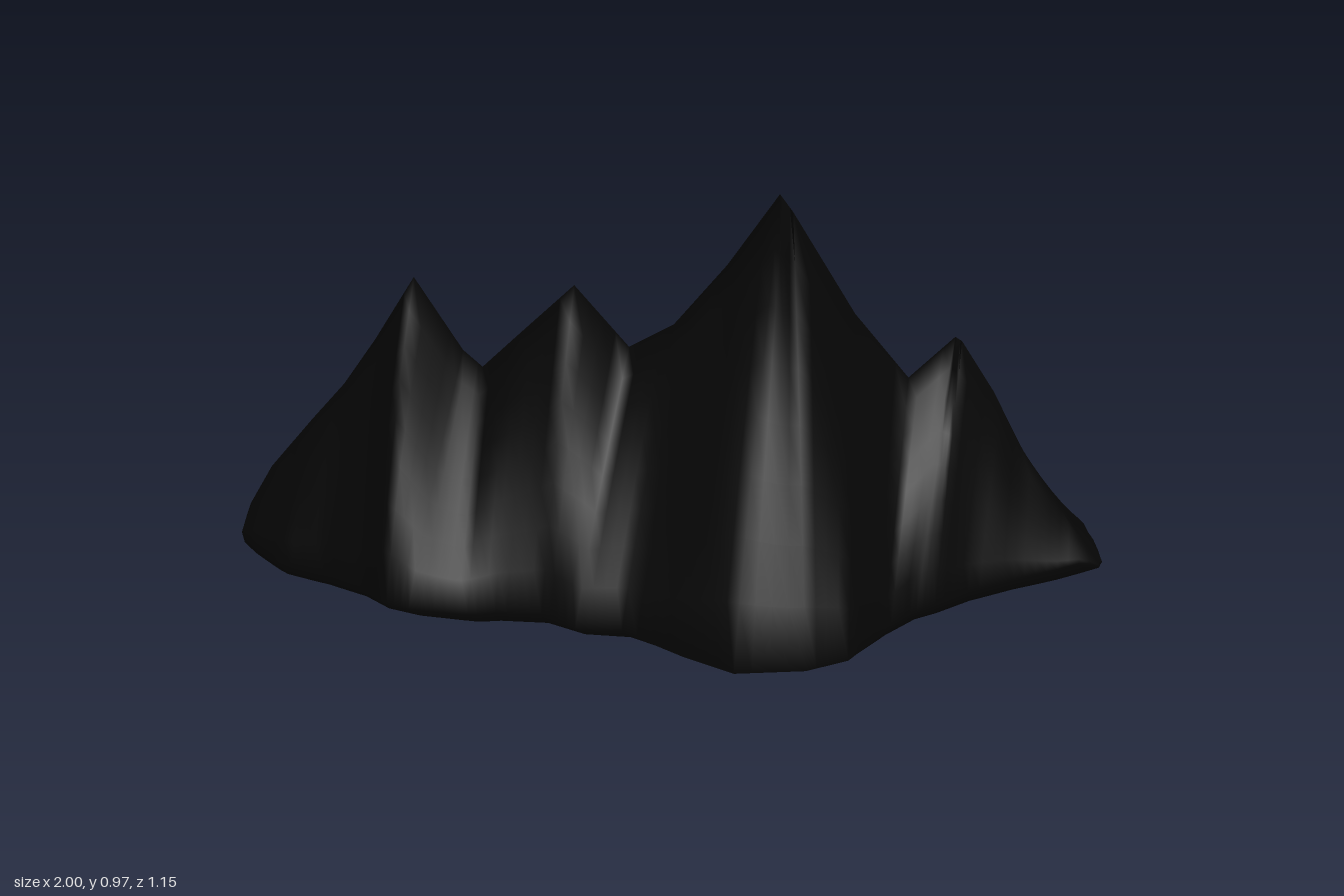
import * as THREE from 'three';

// Stations along the crest: crest [x, y, z, swell of the slopes], front foot [x, z], back foot [x, z]
const ridge = [
  [-0.97, 0.1, 0.36, 0], [-0.9, 0.22, 0.35, 0.05], [-0.78, 0.37, 0.33, 0.05], [-0.7, 0.47, 0.3, 0.05],
  [-0.63, 0.585, 0.26, 0.06], [-0.53, 0.755, 0.23, 0.06], [-0.43, 0.57, 0.19, 0.05], [-0.39, 0.525, 0.17, 0.02],
  [-0.3, 0.62, 0.155, 0.03], [-0.17, 0.757, 0.11, 0.04], [-0.07, 0.585, 0.03, 0.03], [0.04, 0.66, 0.015, 0.04],
  [0.14, 0.8, -0.06, 0.04], [0.24, 0.97, -0.125, 0.04], [0.29, 0.95, -0.085, 0.04], [0.42, 0.69, -0.165, 0.04],
  [0.53, 0.51, -0.25, 0.02], [0.61, 0.595, -0.34, 0.03], [0.635, 0.6, -0.315, 0.03], [0.71, 0.46, -0.36, 0.04],
  [0.78, 0.32, -0.38, 0.04], [0.89, 0.16, -0.4, 0.04], [0.98, 0.06, -0.4, 0],
];
const frontFoot = [
  [-0.95, 0.43], [-0.9, 0.46], [-0.78, 0.51], [-0.66, 0.5], [-0.54, 0.52], [-0.45, 0.575], [-0.37, 0.575], [-0.27, 0.52],
  [-0.2, 0.47], [-0.1, 0.43], [0, 0.45], [0.1, 0.41], [0.27, 0.44], [0.4, 0.45], [0.54, 0.37], [0.61, 0.29],
  [0.64, 0.14], [0.67, 0.05], [0.71, -0.01], [0.76, -0.1], [0.84, -0.2], [0.92, -0.29], [1, -0.39],
];
const backFoot = [
  [-1, 0.3], [-0.93, 0.23], [-0.84, 0.15], [-0.76, 0.07], [-0.68, 0], [-0.55, 0], [-0.42, -0.08], [-0.35, -0.14],
  [-0.25, -0.13], [-0.13, -0.23], [-0.04, -0.24], [0.08, -0.4], [0.15, -0.46], [0.27, -0.49], [0.37, -0.45],
  [0.45, -0.48], [0.52, -0.53], [0.6, -0.56], [0.66, -0.54], [0.76, -0.58], [0.84, -0.53], [0.92, -0.52], [1, -0.41],
];

const SUB = 4;    // slices between stations
const STEPS = 8;  // points up each slope

// Linear sampling keeps the peaks sharp
function sample(list, t) {
  const i = Math.min(Math.floor(t), list.length - 2);
  return list[i].map((v, k) => v + (list[i + 1][k] - v) * (t - i));
}

// Points from the foot of one slope up to the crest
function slope([cx, cy, cz, swell], [fx, fz], t, phase) {
  // the feet furthest out lift off the ground
  const lift = Math.max(0, Math.abs(fz) - 0.5);
  const lip = Math.min(0.06 + lift * 0.3, cy * 0.6);
  // the underside tucks in below the lip
  const pts = [[fx + (cx - fx) * 0.16, 0.004 + lift * 0.3 + 0.025 * Math.abs(fx) ** 6, fz + (cz - fz) * 0.16]];
  for (let k = 0; k < STEPS; k++) {
    const s = k / STEPS;
    // swelling shoulders, with shallow gullies running down
    const fade = Math.sin(Math.PI * s ** 0.85);
    const gully = 0.012 * Math.sin(t * 2.6 + phase + s * 2);
    const y = lip + (cy - lip) * s + fade * cy * (swell + gully);
    pts.push([fx + (cx - fx) * s, Math.min(y, cy), fz + (cz - fz) * s]);
  }
  return pts;
}

function mountainGeometry() {
  const positions = [];
  const index = [];
  const slices = (ridge.length - 1) * SUB;
  const ringSize = 2 * (STEPS + 1) + 1;

  for (let i = 0; i <= slices; i++) {
    const t = i / SUB;
    const top = sample(ridge, t);
    const front = slope(top, sample(frontFoot, t), t, 0);
    const back = slope(top, sample(backFoot, t), t, 1.7).reverse();
    [...front, top.slice(0, 3), ...back].forEach((p) => positions.push(...p));
  }

  // Slopes and underside
  for (let i = 0; i < slices; i++) {
    for (let j = 0; j < ringSize; j++) {
      const a = i * ringSize + j;
      const b = i * ringSize + ((j + 1) % ringSize);
      index.push(a, a + ringSize, b, b, a + ringSize, b + ringSize);
    }
  }

  // Closed ends
  for (const [slice, right] of [[0, false], [slices, true]]) {
    const start = slice * ringSize;
    const centre = positions.length / 3;
    const [x, y, z] = sample(ridge, slice / SUB);
    positions.push(x + (right ? 0.01 : -0.02), y * 0.5, z);
    for (let j = 0; j < ringSize; j++) {
      const a = start + j;
      const b = start + ((j + 1) % ringSize);
      index.push(centre, right ? b : a, right ? a : b);
    }
  }

  const geometry = new THREE.BufferGeometry();
  geometry.setAttribute('position', new THREE.Float32BufferAttribute(positions, 3));
  geometry.setIndex(index);
  geometry.computeVertexNormals();
  return geometry;
}

export function createModel() {
  const rock = new THREE.MeshStandardMaterial({ color: 0x050505, side: THREE.DoubleSide });
  rock.name = 'dark rock';
  const mountain = new THREE.Mesh(mountainGeometry(), rock);
  mountain.name = 'mountainRange';

  const model = new THREE.Group();
  model.name = 'mountains';
  model.add(mountain);
  return model;
}
